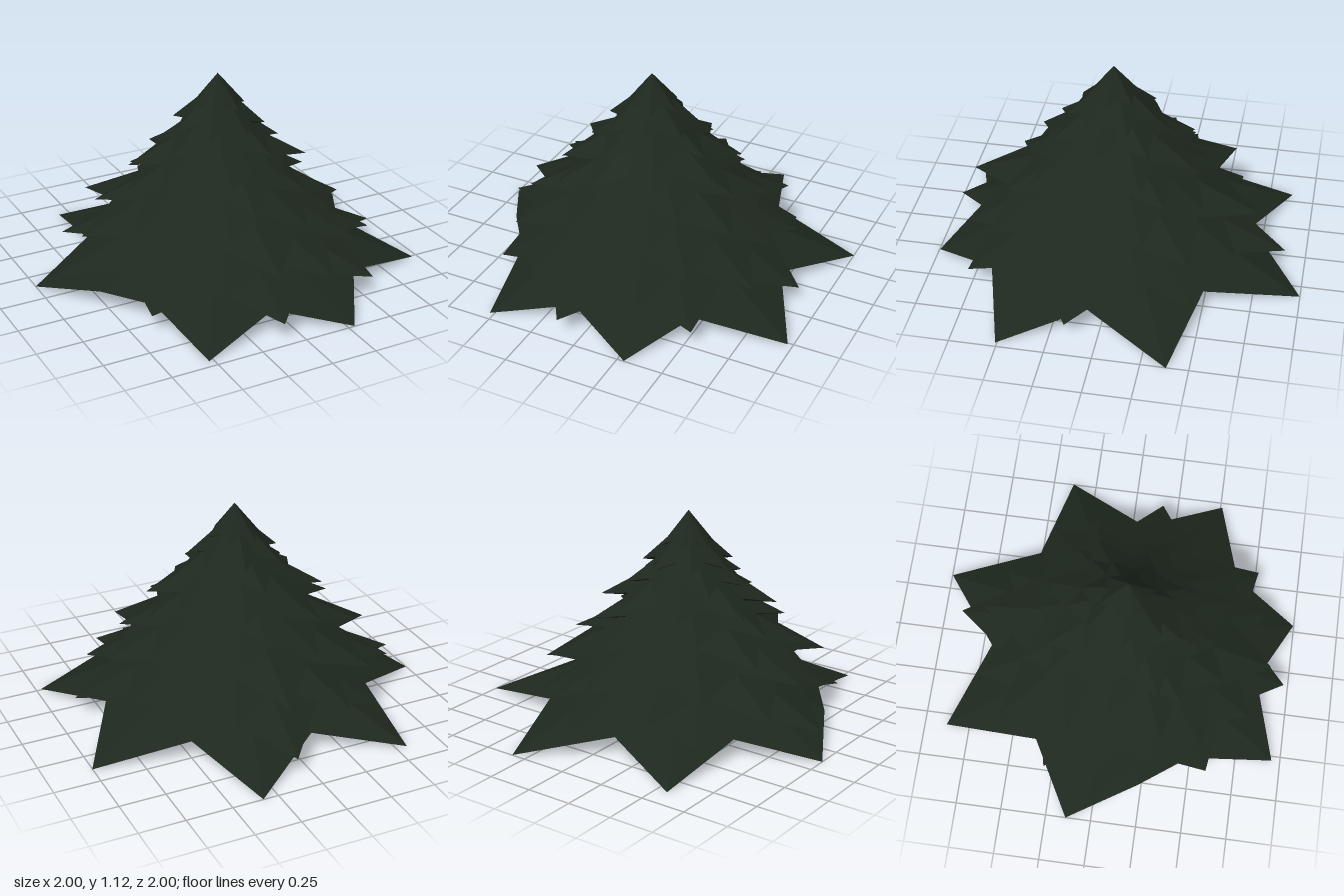
import * as THREE from 'three';

// One star-shaped cone: tips hang low, notches are raised, underside is a fan.
function starCone(radii, lifts, start, height) {
  const n = radii.length;
  const rim = radii.map((r, i) => {
    const a = THREE.MathUtils.degToRad(start) + (i / n) * Math.PI * 2;
    return [r * Math.cos(a), lifts[i], r * Math.sin(a)];
  });
  const pos = [];
  for (let i = 0; i < n; i++) {
    const a = rim[i], b = rim[(i + 1) % n];
    pos.push(0, height, 0, ...b, ...a); // upper face
    pos.push(0, 0, 0, ...a, ...b); // underside
  }
  const geo = new THREE.BufferGeometry();
  geo.setAttribute('position', new THREE.Float32BufferAttribute(pos, 3));
  geo.computeVertexNormals();
  return geo;
}

export function createModel() {
  const tree = new THREE.Group();
  tree.name = 'firTree';
  const needles = new THREE.MeshStandardMaterial({ color: 0x1e281e, flatShading: true });
  needles.name = 'dark needle green';

  const addTier = (index, geo) => {
    const mesh = new THREE.Mesh(geo, needles);
    mesh.name = `branchTier${index + 1}`;
    mesh.position.set(-0.015, index * 0.104, 0.07);
    tree.add(mesh);
  };

  // Wide irregular bottom tier: fifteen rim points, so one tip stays short
  const skirt = [1.007, 0.73, 1.095, 0.764, 1.124, 0.768, 1.114, 0.765,
    1.08, 0.77, 0.975, 0.75, 1.02, 0.72, 0.79];
  addTier(0, starCone(skirt, skirt.map((r) => (r < 0.9 ? 0.1 : 0)), 192, 0.45));

  // Upper tiers: angle of the first tip, then the radius of every tip around
  const tiers = [
    [6, [0.91, 0.89, 0.905, 0.83, 0.92, 0.85, 0.967, 0.83]],
    [25, [0.82, 0.81, 0.8, 0.74, 0.843, 0.843, 0.8, 0.79]],
    [5, [0.72, 0.75, 0.81, 0.75, 0.77, 0.8, 0.82, 0.775]],
    [22, [0.63, 0.6, 0.6, 0.66, 0.66, 0.58, 0.56, 0.64]],
    [5, [0.5, 0.52, 0.5, 0.53, 0.54, 0.52, 0.49, 0.52]],
    [18, [0.48, 0.42, 0.44, 0.48, 0.48, 0.46, 0.47, 0.48]],
    [10, [0.34, 0.34, 0.34, 0.33, 0.33, 0.33, 0.34]],
    [25, [0.25, 0.24, 0.25, 0.25, 0.26, 0.26, 0.25]],
    [8, [0.15, 0.15, 0.14, 0.14, 0.15, 0.15]],
  ];
  tiers.forEach(([start, tips], k) => {
    const mean = tips.reduce((a, b) => a + b) / tips.length;
    const notch = mean * 0.73;
    const radii = tips.flatMap((r) => [r, notch]);
    const lifts = tips.flatMap(() => [0, 0.025 + 0.065 * mean]);
    const height = k === tiers.length - 1 ? 0.18 : 0.18 + 0.23 * mean;
    addTier(k + 1, starCone(radii, lifts, start, height));
  });

  return tree;
}
